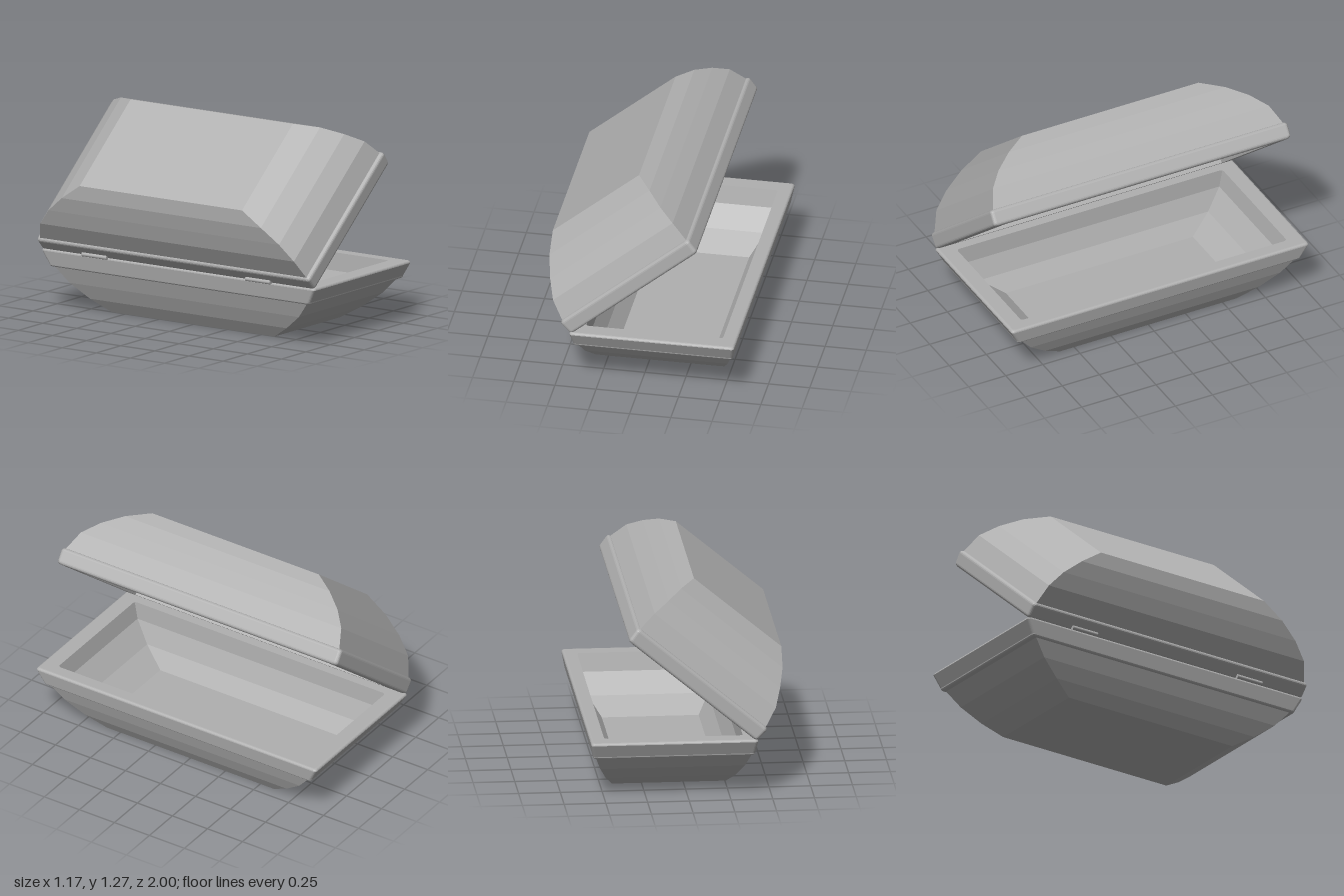
import * as THREE from 'three';

// Points of a rectangle with rounded corners (x -> z order); radius 0 gives four points
function ring([hx, hz, y], radius) {
  const n = radius ? 4 : 0, pts = [];
  const r = Math.min(radius, hx, hz);
  [[1, 1], [-1, 1], [-1, -1], [1, -1]].forEach(([sx, sz], q) => {
    for (let k = 0; k <= n; k++) {
      const a = (q + (n ? k / n : 0)) * Math.PI / 2;
      pts.push(new THREE.Vector3(
        sx * (hx - r) + r * Math.cos(a), y, sz * (hz - r) + r * Math.sin(a)));
    }
  });
  return pts;
}

// Faceted loft through rectangular sections [half width, half length, height]
function loft(sections, { radius = 0, startCap = false, endCap = false } = {}) {
  const rings = sections.map((s) => ring(s, radius));
  const out = [];
  const tri = (...p) => p.forEach((v) => out.push(v.x, v.y, v.z));
  const n = rings[0].length;
  for (let i = 0; i < rings.length - 1; i++) {
    for (let j = 0; j < n; j++) {
      const k = (j + 1) % n, lo = rings[i], hi = rings[i + 1];
      tri(lo[j], hi[j], lo[k]);
      tri(lo[k], hi[j], hi[k]);
    }
  }
  const last = rings[rings.length - 1];
  for (let j = 1; j < n - 1; j++) {
    if (startCap) tri(rings[0][0], rings[0][j], rings[0][j + 1]);
    if (endCap) tri(last[0], last[j + 1], last[j]);
  }
  const geo = new THREE.BufferGeometry();
  geo.setAttribute('position', new THREE.Float32BufferAttribute(out, 3));
  geo.computeVertexNormals();
  return geo;
}

// Rim profile with rounded outer edges, from inner bottom round to inner top
function rimSections(innerBottom, bottom, top, innerTop, r) {
  const s = [innerBottom];
  for (let k = 0; k <= 4; k++) {
    const a = (k / 4) * Math.PI / 2, d = r * (1 - Math.sin(a));
    s.push([bottom[0] - d, bottom[1] - d, bottom[2] + r * (1 - Math.cos(a))]);
  }
  for (let k = 0; k <= 4; k++) {
    const a = (k / 4) * Math.PI / 2, d = r * (1 - Math.cos(a));
    s.push([top[0] - d, top[1] - d, top[2] - r * (1 - Math.sin(a))]);
  }
  s.push(innerTop);
  return s;
}

export function createModel() {
  const grey = new THREE.MeshStandardMaterial({ color: 0xb0b0b0 });
  grey.name = 'plain grey';
  const model = new THREE.Group();
  model.name = 'hingedBox';
  const add = (parent, name, geo) => {
    const mesh = new THREE.Mesh(geo, grey);
    mesh.name = name;
    parent.add(mesh);
    return mesh;
  };

  // Lower half: curved hull, flared rim and hollow inside
  const base = new THREE.Group();
  base.name = 'base';
  base.position.x = 0.085;
  add(base, 'baseHull', loft([
    [0.341, 0.595, 0], [0.391, 0.72, 0.075], [0.433, 0.84, 0.165], [0.468, 0.925, 0.262],
  ], { startCap: true }));
  add(base, 'baseRim', loft(rimSections(
    [0.44, 0.89, 0.26], [0.486, 0.957, 0.26], [0.5, 1, 0.37], [0.415, 0.895, 0.37], 0.015,
  ), { radius: 0.018 }));
  add(base, 'baseInside', loft([
    [0.415, 0.895, 0.37], [0.408, 0.87, 0.26], [0.36, 0.77, 0.14], [0.29, 0.63, 0.045],
  ], { endCap: true }));
  model.add(base);

  // Open lid, tilted about the hinge edge
  const lid = new THREE.Group();
  lid.name = 'lid';
  lid.position.set(-0.02, 0.68, 0);
  lid.rotation.z = THREE.MathUtils.degToRad(39.9);
  add(lid, 'lidDome', loft([
    [0.491, 0.977, 0.098], [0.473, 0.93, 0.221], [0.436, 0.845, 0.317],
    [0.396, 0.73, 0.405], [0.341, 0.595, 0.478],
  ], { endCap: true }));
  add(lid, 'lidRim', loft(rimSections(
    [0.415, 0.895, 0], [0.502, 1, 0], [0.506, 1, 0.102], [0.48, 0.96, 0.102], 0.02,
  ), { radius: 0.02 }));
  add(lid, 'lidInside', loft([
    [0.31, 0.675, 0.43], [0.37, 0.8, 0.335], [0.41, 0.89, 0.2], [0.415, 0.895, 0],
  ], { startCap: true }));
  model.add(lid);

  // Two small hinge barrels along the back edge
  for (const side of [-1, 1]) {
    const barrel = add(model, side > 0 ? 'leftHinge' : 'rightHinge',
      new THREE.CylinderGeometry(0.013, 0.013, 0.18, 12));
    barrel.rotation.x = Math.PI / 2;
    barrel.position.set(-0.426, 0.372, side * 0.6);
  }
  return model;
}
